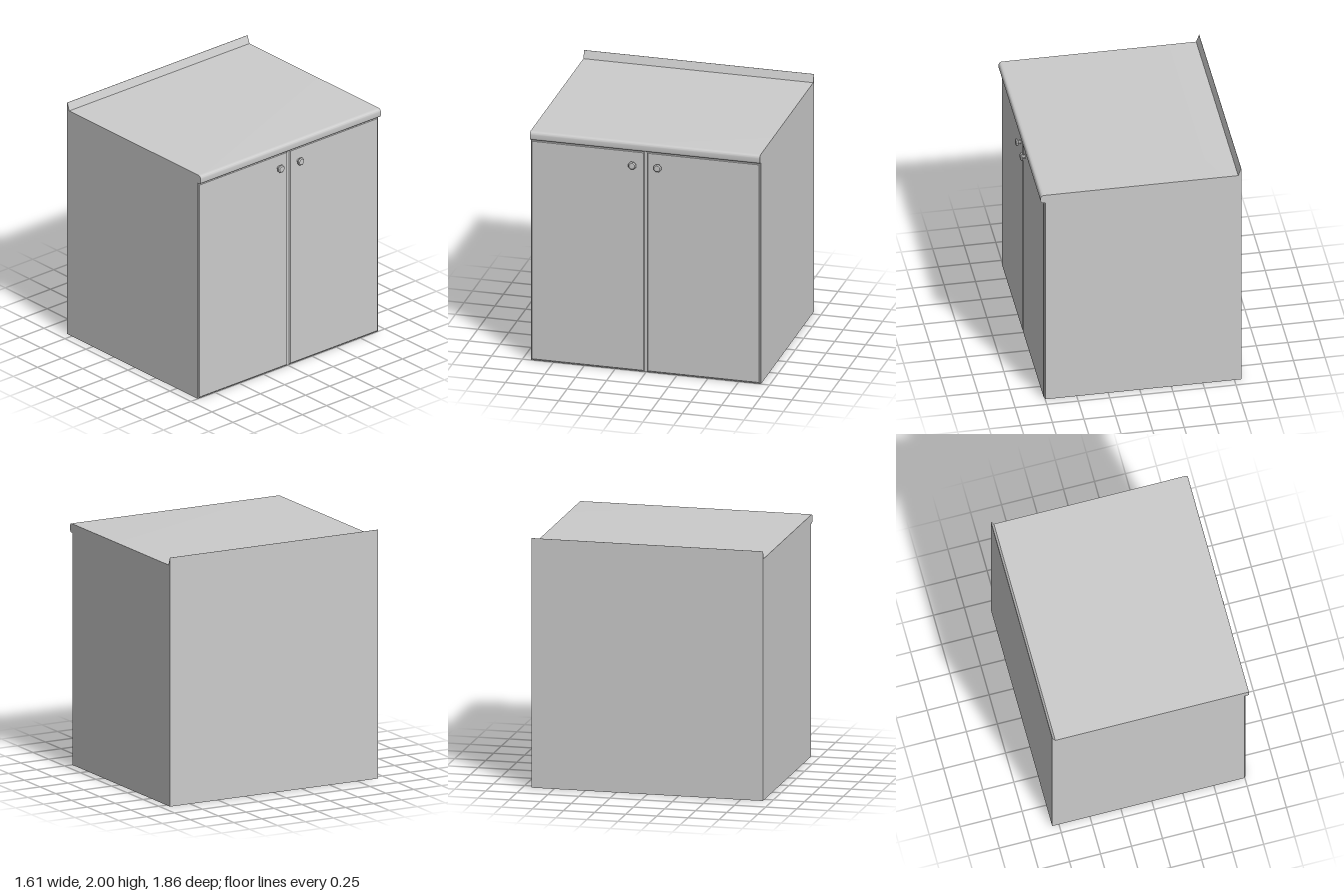
import * as THREE from 'three';
import { toCreasedNormals } from 'three/addons/utils/BufferGeometryUtils.js';

const material = new THREE.MeshStandardMaterial({ color: 0xcccccc });
const WIDTH = 1.86;

function addMesh(parent, name, geometry, x = 0, y = 0, z = 0) {
  const mesh = new THREE.Mesh(geometry, material);
  mesh.name = name;
  mesh.position.set(x, y, z);
  parent.add(mesh);
  return mesh;
}

export function createModel() {
  const model = new THREE.Group();
  model.name = 'cabinet';

  // Carcass
  addMesh(model, 'carcass', new THREE.BoxGeometry(1.553, 1.865, WIDTH), -0.0285, 0.9325, 0);

  // Worktop with rounded nose and tapered upstand, one profile swept across the width
  const profile = new THREE.Shape();
  profile.moveTo(-0.805, 1.865);
  profile.lineTo(0.762, 1.865);
  profile.quadraticCurveTo(0.785, 1.865, 0.785, 1.888);
  profile.lineTo(0.785, 1.91);
  profile.quadraticCurveTo(0.785, 1.937, 0.757, 1.937);
  profile.lineTo(-0.78, 1.937);
  profile.lineTo(-0.803, 2);
  profile.lineTo(-0.805, 2);
  profile.closePath();
  const top = new THREE.ExtrudeGeometry(profile, { depth: WIDTH, bevelEnabled: false, curveSegments: 8 });
  top.translate(0, 0, -WIDTH / 2);
  addMesh(model, 'worktop', toCreasedNormals(top, 0.6));

  // Doors: thin slabs with a chamfered front edge
  const bevel = 0.006, doorW = 0.913, doorH = 1.845;
  const w = doorW / 2 - bevel, h = doorH / 2 - bevel;
  const slab = new THREE.Shape([
    new THREE.Vector2(-w, -h), new THREE.Vector2(w, -h),
    new THREE.Vector2(w, h), new THREE.Vector2(-w, h),
  ]);
  const door = new THREE.ExtrudeGeometry(slab, {
    depth: 0.004, bevelEnabled: true, bevelSegments: 1, bevelSize: bevel, bevelThickness: bevel,
  });
  door.rotateY(Math.PI / 2);

  // Knob: narrow stem and eight-sided faceted head
  const knobProfile = [
    [0, 0], [0.019, 0], [0.014, 0.012], [0.016, 0.02],
    [0.033, 0.024], [0.033, 0.034], [0.024, 0.042], [0, 0.044],
  ].map(([r, y]) => new THREE.Vector2(r, y));
  const knob = toCreasedNormals(new THREE.LatheGeometry(knobProfile, 8, Math.PI / 8), 0.5);
  knob.rotateZ(-Math.PI / 2);

  for (const [side, s] of [['left', -1], ['right', 1]]) {
    addMesh(model, side + 'Door', door, 0.75, 0.01 + doorH / 2, s * (0.011 + doorW / 2));
    addMesh(model, side + 'Knob', knob, 0.758, 1.743, s * 0.102);
  }
  return model;
}
